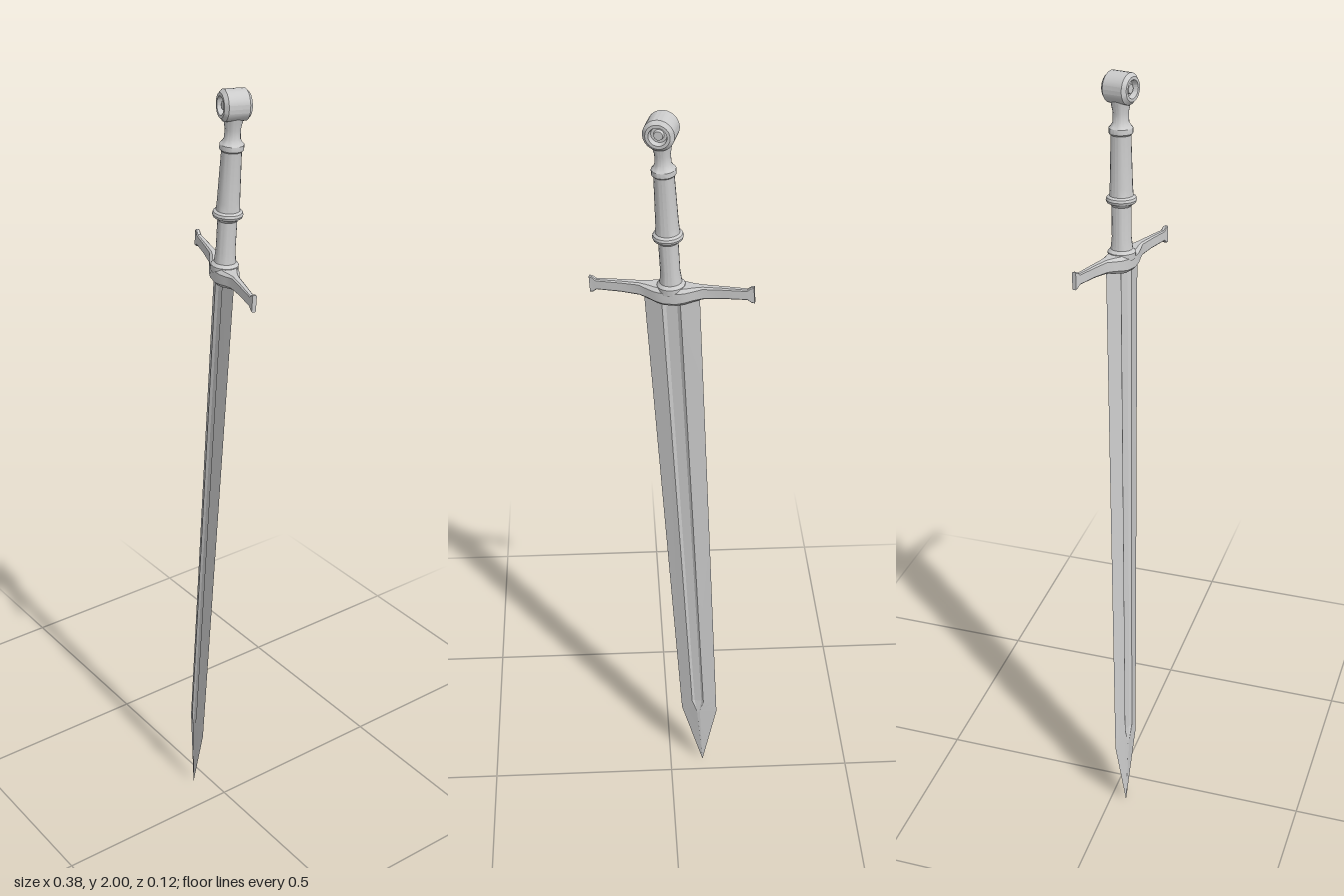
import * as THREE from 'three';
import { toCreasedNormals } from 'three/addons/utils/BufferGeometryUtils.js';

const steel = new THREE.MeshStandardMaterial({ color: 0xcccccc });

// Skin a row of closed rings (counter-clockwise about the travel direction), with end caps
function loft(rings, crease) {
  const n = rings[0].length;
  const index = [];
  for (let r = 0; r < rings.length - 1; r++) {
    for (let i = 0; i < n; i++) {
      const j = (i + 1) % n;
      const a = r * n + i, b = r * n + j, c = a + n, d = b + n;
      index.push(a, b, d, a, d, c);
    }
  }
  const last = (rings.length - 1) * n;
  for (let i = 1; i < n - 1; i++) {
    index.push(0, i + 1, i, last, last + i, last + i + 1);
  }
  const geometry = new THREE.BufferGeometry();
  geometry.setAttribute('position', new THREE.Float32BufferAttribute(rings.flat(2), 3));
  geometry.setIndex(index);
  return toCreasedNormals(geometry, crease);
}

function lathe(points, segments, crease = 0.6) {
  const profile = points.map(([r, y]) => new THREE.Vector2(r, y));
  return toCreasedNormals(new THREE.LatheGeometry(profile, segments), crease);
}

function addPart(parent, name, geometry) {
  const mesh = new THREE.Mesh(geometry, steel);
  mesh.name = name;
  parent.add(mesh);
  return mesh;
}

// Blade section: sharp edges, two ridges and a shallow fuller on each face
function bladeRing([y, w, ridge, t, floor]) {
  const half = [[w, 0], [ridge, t], [ridge * 0.6, floor], [-ridge * 0.6, floor], [-ridge, t]];
  return [...half, ...half.map(([x, z]) => [-x, -z])].map(([x, z]) => [x, y, z]);
}

// Guard section: rectangle with chamfered corners
function guardRing([x, yc, hy, hz]) {
  const c = Math.min(hy, hz) * 0.4;
  return [
    [hy, -hz + c], [hy, hz - c], [hy - c, hz], [-hy + c, hz],
    [-hy, hz - c], [-hy, -hz + c], [-hy + c, -hz], [hy - c, -hz],
  ].map(([y, z]) => [x, yc + y, z]);
}

export function createModel() {
  const model = new THREE.Group();
  model.name = 'sword';

  // Local frame: origin at the guard, y along the sword, x along the guard
  const sword = new THREE.Group();
  sword.name = 'tiltedSword';
  const yAxis = new THREE.Vector3(0.0585, 1, -0.026).normalize();
  const zAxis = new THREE.Vector3(0.96, -0.048, 0.275).cross(yAxis).normalize();
  const xAxis = new THREE.Vector3().crossVectors(yAxis, zAxis);
  sword.quaternion.setFromRotationMatrix(new THREE.Matrix4().makeBasis(xAxis, yAxis, zAxis));
  sword.position.set(0, 1.56, 0);
  model.add(sword);

  // Blade: y, half width, ridge offset, ridge thickness, fuller thickness
  addPart(sword, 'blade', loft([
    [0, 0.066, 0.022, 0.012, 0.007],
    [-1.32, 0.05, 0.016, 0.01, 0.006],
    [-1.36, 0.0495, 0.004, 0.01, 0.01],
    [-1.563, 0.0005, 0.0002, 0.0003, 0.0003],
  ].map(bladeRing), 0.1));

  // Crossguard: x, centre height, half height, half depth; mirrored about the middle
  const arm = [
    [0.194, 0.012, 0.021, 0.005],
    [0.187, 0.012, 0.02, 0.005],
    [0.178, 0.012, 0.013, 0.006],
    [0.12, 0.012, 0.014, 0.008],
    [0.075, 0.01, 0.016, 0.01],
    [0.055, 0.007, 0.018, 0.017],
    [0.035, 0.004, 0.02, 0.025],
    [0.015, 0.002, 0.022, 0.029],
  ];
  const guard = [...arm.map(([x, ...rest]) => [-x, ...rest]), ...arm.reverse()];
  addPart(sword, 'crossguard', loft(guard.map(guardRing), 0.6));

  // Grip with a base collar, middle ring, top ring and neck
  addPart(sword, 'grip', lathe([
    [0, 0.01], [0.032, 0.01], [0.033, 0.026], [0.026, 0.033],
    [0.023, 0.06], [0.023, 0.135], [0.027, 0.14], [0.034, 0.144],
    [0.036, 0.15], [0.034, 0.156], [0.028, 0.16],
    [0.0265, 0.18], [0.0235, 0.295], [0.024, 0.3], [0.028, 0.304],
    [0.028, 0.316], [0.024, 0.32], [0.019, 0.328],
    [0.018, 0.35], [0.022, 0.37], [0.024, 0.385], [0, 0.39],
  ], 20));

  // Wheel pommel: short drum facing front and back, both faces recessed around a boss
  const face = [
    [0, 0.027], [0.01, 0.027], [0.012, 0.02], [0.018, 0.02],
    [0.021, 0.033], [0.028, 0.033], [0.036, 0.025],
  ];
  const drum = [...face.map(([r, y]) => [r, -y]), ...face.slice().reverse()];
  const pommel = addPart(sword, 'pommel', lathe(drum, 24, 0.5));
  pommel.rotation.x = Math.PI / 2;
  pommel.position.y = 0.405;

  return model;
}
